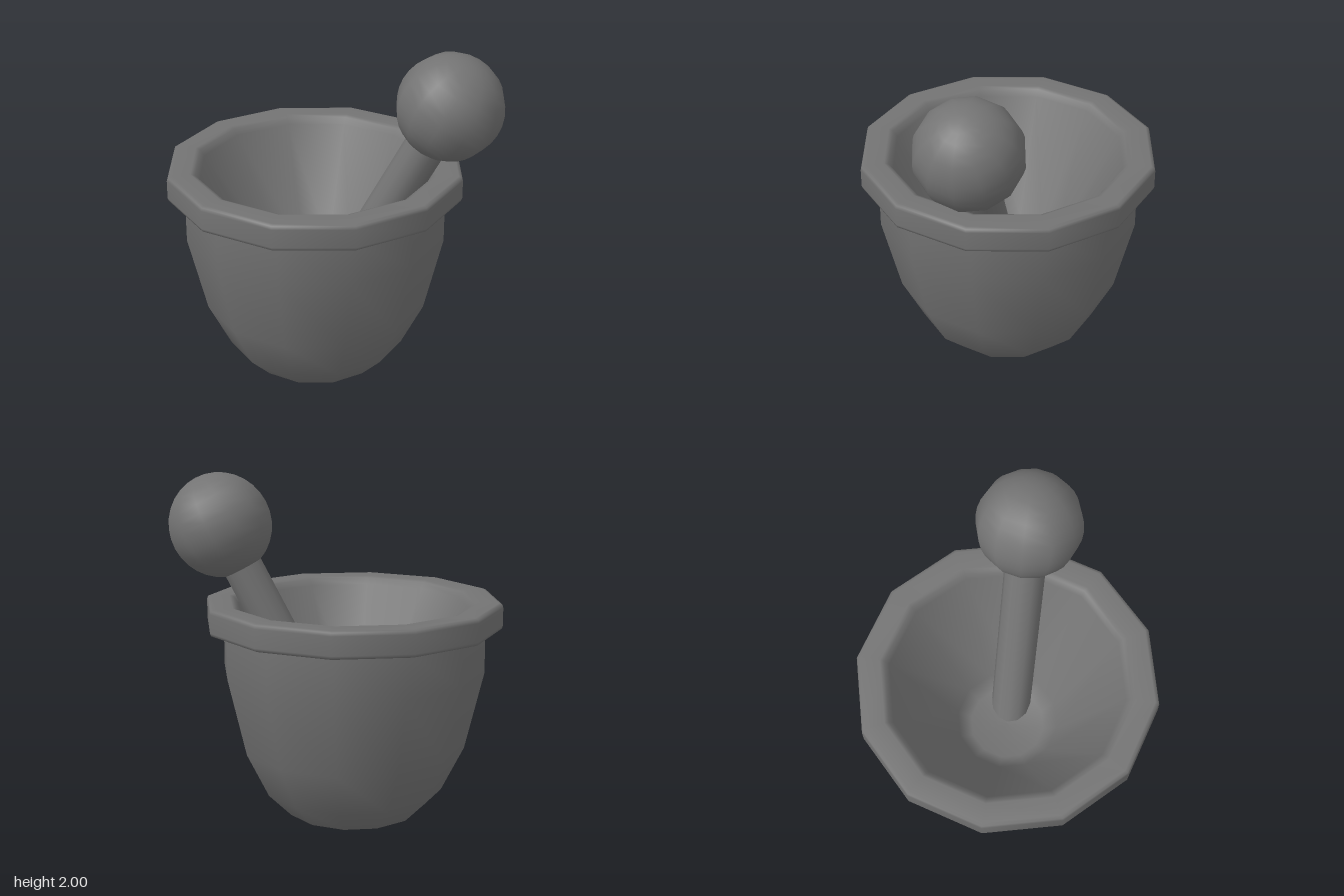
import * as THREE from 'three';

const SIDES = 12;

export function createModel() {
  const group = new THREE.Group();
  const material = new THREE.MeshStandardMaterial({ color: 0x737373 });

  const add = (parent, name, geometry) => {
    const mesh = new THREE.Mesh(geometry, material);
    mesh.name = name;
    parent.add(mesh);
    return mesh;
  };
  const lathe = (points) =>
    new THREE.LatheGeometry(points.map(([r, y]) => new THREE.Vector2(r, y)), SIDES);

  // Mortar: separate turned surfaces keep the edges between them sharp
  const mortar = new THREE.Group();
  mortar.name = 'mortar';
  mortar.position.x = -0.109;
  group.add(mortar);

  add(mortar, 'base', lathe([[0, 0.026], [0.365, 0.026]]));
  add(mortar, 'outerWall', lathe([
    [0.365, 0.026], [0.385, 0.036], [0.52, 0.17], [0.65, 0.43],
    [0.757, 0.88], [0.757, 1.14],
  ]));
  // Rim rolls over into a straight conical bowl with a small flat floor
  add(mortar, 'rimAndBowl', lathe([
    [0.757, 1.136], [0.83, 1.136], [0.848, 1.143], [0.854, 1.16],
    [0.854, 1.265], [0.848, 1.283], [0.83, 1.29], [0.72, 1.29],
    [0.695, 1.28], [0.67, 1.245], [0.3, 0.585], [0.22, 0.53], [0, 0.52],
  ]));

  // Pestle: leans towards +x, its foot set through the floor of the bowl
  const foot = new THREE.Vector3(-0.215, 0.055, 0);
  const knobCentre = new THREE.Vector3(0.658, 1.7, 0);
  const axis = knobCentre.clone().sub(foot);
  const length = axis.length();

  const pestle = new THREE.Group();
  pestle.name = 'pestle';
  pestle.position.copy(foot);
  pestle.rotation.z = -Math.atan2(axis.x, axis.y);
  group.add(pestle);

  const shaft = add(pestle, 'pestleShaft', new THREE.CylinderGeometry(0.117, 0.117, length, SIDES));
  shaft.position.y = length / 2;
  const knob = add(pestle, 'pestleKnob', new THREE.SphereGeometry(0.301, SIDES, 16));
  knob.position.y = length;

  return group;
}
